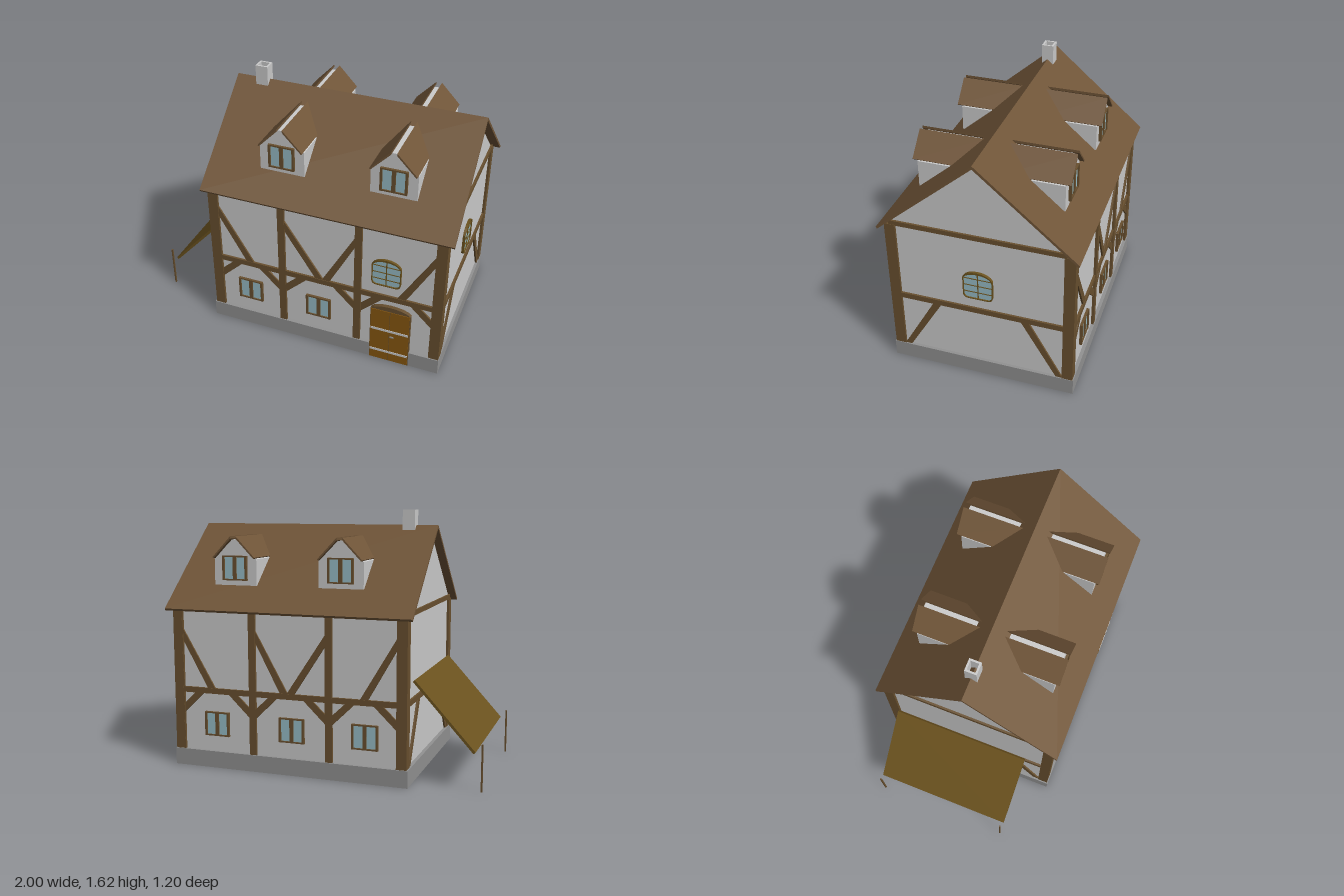
import * as THREE from 'three';

const mat = (color) => new THREE.MeshStandardMaterial({ color, side: THREE.DoubleSide, flatShading: true });
const plaster = mat(0xcccccc), stone = mat(0x929292), timber = mat(0x69502f), roofing = mat(0x705538);
const doorWood = mat(0x885810), glass = mat(0x98bec8), canopyWood = mat(0x6b521e);

function add(parent, name, geometry, material) {
  const mesh = new THREE.Mesh(geometry, material);
  mesh.name = name;
  parent.add(mesh);
  return mesh;
}

// Box given by its limits on each axis
function box(parent, name, material, x0, x1, y0, y1, z0, z1) {
  const mesh = add(parent, name, new THREE.BoxGeometry(x1 - x0, y1 - y0, z1 - z0), material);
  mesh.position.set((x0 + x1) / 2, (y0 + y1) / 2, (z0 + z1) / 2);
  return mesh;
}

// Outline in x/y pushed from z0 to z1
function slab(parent, name, material, outline, z0, z1) {
  const shape = Array.isArray(outline) ? new THREE.Shape(outline.map(([x, y]) => new THREE.Vector2(x, y))) : outline;
  const geometry = new THREE.ExtrudeGeometry(shape, { depth: z1 - z0, bevelEnabled: false, curveSegments: 8 });
  return add(parent, name, geometry.translate(0, 0, z0), material);
}

function group(parent, name, x = 0, y = 0, z = 0, turn = 0) {
  const g = new THREE.Group();
  g.name = name;
  g.position.set(x, y, z);
  g.rotation.y = turn;
  parent.add(g);
  return g;
}

// Rounded bottom corners, straight sides and a bowed top
function archShape(w, y0, side, top, r) {
  const s = new THREE.Shape();
  s.moveTo(-w + r, y0);
  s.lineTo(w - r, y0);
  s.quadraticCurveTo(w, y0, w, y0 + r);
  s.lineTo(w, side);
  s.bezierCurveTo(w * 0.7, top, -w * 0.7, top, -w, side);
  s.lineTo(-w, y0 + r);
  s.quadraticCurveTo(-w, y0, -w + r, y0);
  return s;
}

// Two-pane window centred on x, y, facing +z
function casement(parent, x, y) {
  const g = group(parent, 'casementWindow', x, y, 0);
  const w = 0.083, h = 0.077, b = 0.014;
  for (const s of [-1, 1]) {
    const a = s * w, c = s * (w - b);
    box(g, 'windowJamb', timber, Math.min(a, c), Math.max(a, c), -h, h, 0, 0.018);
    const d = s * h, e = s * (h - 0.009);
    box(g, 'windowRail', timber, -w, w, Math.min(d, e), Math.max(d, e), 0, 0.016);
  }
  box(g, 'windowMullion', timber, -0.012, 0.012, -h, h, 0, 0.016);
  box(g, 'windowGlass', glass, -w + 0.005, w - 0.005, -h + 0.004, h - 0.004, 0, 0.008);
}

// Arched window with a grid of glazing bars
function archWindow(parent, x, y) {
  const g = group(parent, 'archedWindow', x, y, 0);
  const outer = archShape(0.092, 0, 0.15, 0.21, 0.035);
  outer.holes.push(archShape(0.086, 0.006, 0.148, 0.193, 0.032));
  slab(g, 'archedFrame', canopyWood, outer, 0, 0.016);
  slab(g, 'archedGlass', glass, archShape(0.089, 0.003, 0.15, 0.2, 0.033), 0, 0.008);
  box(g, 'glazingBar', canopyWood, -0.003, 0.003, 0.003, 0.185, 0, 0.012);
  for (const h of [0.048, 0.096, 0.144]) box(g, 'glazingBar', canopyWood, -0.088, 0.088, h - 0.002, h + 0.002, 0, 0.012);
}

// Long-wall timbering; m = -1 mirrors it for the back wall
function longWall(parent, m) {
  const bx = (name, mt, a, b, ...rest) => box(parent, name, mt, Math.min(a * m, b * m), Math.max(a * m, b * m), ...rest);
  for (const [a, b] of [[-0.565, -0.5], [-0.1, -0.055], [0.4, 0.445], [0.9, 0.96]])
    bx('wallPost', timber, a, b, 0.1, 1.0, -0.05, 0.016);
  bx('middleBeam', timber, -0.52, 0.92, 0.475, 0.51, -0.02, 0.014);
  for (const [x, d, run] of [[-0.5, 1, 0.225], [-0.055, 1, 0.25], [0.4, -1, 0.21], [0.9, -1, 0.22]])
    slab(parent, 'upperBrace', timber,
      [[x, 0.815], [x, 0.885], [x + d * run, 0.51], [x + d * (run - 0.05), 0.51]].map(([a, y]) => [a * m, y]), -0.02, 0.011);
  for (const [x, d] of [[-0.5, 1], [-0.1, -1], [-0.055, 1], [0.4, -1], [0.445, 1], [0.9, -1]])
    slab(parent, 'lowerBrace', timber,
      [[x, 0.34], [x, 0.4], [x + d * 0.08, 0.475], [x + d * 0.14, 0.475]].map(([a, y]) => [a * m, y]), -0.02, 0.011);
  for (const x of [-0.305, 0.165]) casement(parent, x * m, 0.282);
}

// End-wall timbering
function endWall(parent) {
  for (const s of [-1, 1]) {
    box(parent, 'cornerPost', timber, s > 0 ? 0.51 : -0.57, s > 0 ? 0.57 : -0.51, 0.1, 1.01, -0.05, 0.015);
    slab(parent, 'endBrace', timber, [[s * 0.51, 0.1], [s * 0.47, 0.1], [s * 0.25, 0.475], [s * 0.3, 0.475]], -0.02, 0.011);
  }
  box(parent, 'middleBeam', timber, -0.52, 0.52, 0.475, 0.51, -0.02, 0.013);
  box(parent, 'tieBeam', timber, -0.545, 0.545, 1.005, 1.035, -0.02, 0.013);
}

function dormer(parent, x, turn) {
  const g = group(parent, 'dormer', x, 0, 0, turn);
  slab(g, 'dormerBody', plaster, [[-0.143, 1.15], [0.143, 1.15], [0.143, 1.315], [0.02, 1.435], [-0.02, 1.435], [-0.143, 1.315]], 0.04, 0.44);
  for (const s of [-1, 1])
    slab(g, 'dormerRoof', roofing, [[s * 0.143, 1.325], [s * 0.018, 1.456], [s * 0.018, 1.44], [s * 0.136, 1.318]], 0.07, 0.47);
  casement(group(g, 'dormerWindow', 0, 1.258, 0.44), 0, 0);
}

export function createModel() {
  const house = new THREE.Group();
  house.name = 'timberHouse';

  // Stone base and plastered walls with gables
  box(house, 'foundation', stone, -0.573, 0.963, 0, 0.106, -0.577, 0.577);
  const walls = slab(house, 'walls', plaster, [[-0.555, 0.1], [0.555, 0.1], [0.555, 1.015], [0, 1.497], [-0.555, 1.015]], -0.945, 0.55);
  walls.rotation.y = -Math.PI / 2;

  // Four timbered faces
  const front = group(house, 'frontWall', 0, 0, 0.555);
  const back = group(house, 'backWall', 0, 0, -0.555, Math.PI);
  const left = group(house, 'leftEnd', 0.945, 0, 0, Math.PI / 2);
  const right = group(house, 'rightEnd', -0.55, 0, 0, -Math.PI / 2);
  longWall(front, 1);
  longWall(back, -1);
  endWall(left);
  endWall(right);
  archWindow(front, 0.602, 0.583);
  archWindow(left, -0.01, 0.583);
  casement(back, -0.67, 0.282);

  // Double door with a bowed lintel, metal bands and a handle
  const door = group(front, 'door', 0.643, 0, 0);
  slab(door, 'doorLintel', timber, archShape(0.128, 0.0, 0.4, 0.445, 0.001), -0.02, 0.024);
  box(door, 'doorLeaf', doorWood, -0.124, 0.124, 0.004, 0.4, 0, 0.028);
  box(door, 'doorGap', timber, -0.0015, 0.0015, 0.004, 0.4, 0, 0.029);
  for (const y of [0.075, 0.248]) box(door, 'doorBand', plaster, -0.122, 0.122, y - 0.008, y + 0.008, 0, 0.031);
  box(door, 'doorHandle', stone, 0.004, 0.03, 0.202, 0.21, 0, 0.034);

  // Main roof
  for (const s of [-1, 1]) {
    const side = slab(house, 'roofSide', roofing, [[0, 1.523], [s * 0.602, 1.006], [s * 0.595, 0.993], [0, 1.502]], -1, 0.6);
    side.rotation.y = -Math.PI / 2;
  }
  for (const x of [-0.113, 0.585]) for (const turn of [0, Math.PI]) dormer(house, x, turn);

  // Hollow chimney
  const flue = new THREE.Shape([[-0.04, -0.038], [0.04, -0.038], [0.04, 0.038], [-0.04, 0.038]].map(([x, y]) => new THREE.Vector2(x, y)));
  flue.holes.push(new THREE.Path([[-0.028, -0.026], [-0.028, 0.026], [0.028, 0.026], [0.028, -0.026]].map(([x, y]) => new THREE.Vector2(x, y))));
  const chimney = slab(house, 'chimney', plaster, flue, 0, 0.13);
  chimney.rotation.x = -Math.PI / 2;
  chimney.position.set(-0.42, 1.487, 0);

  // Lean-to canopy and its thin poles
  const canopy = add(house, 'canopy', new THREE.BoxGeometry(0.545, 0.016, 0.895), canopyWood);
  canopy.position.set(-0.767, 0.43, -0.05);
  canopy.rotation.z = Math.atan2(0.4, 0.365);
  for (const z of [-0.49, 0.385]) box(house, 'canopyPole', timber, -1, -0.99, 0, 0.283, z - 0.005, z + 0.005);

  return house;
}
